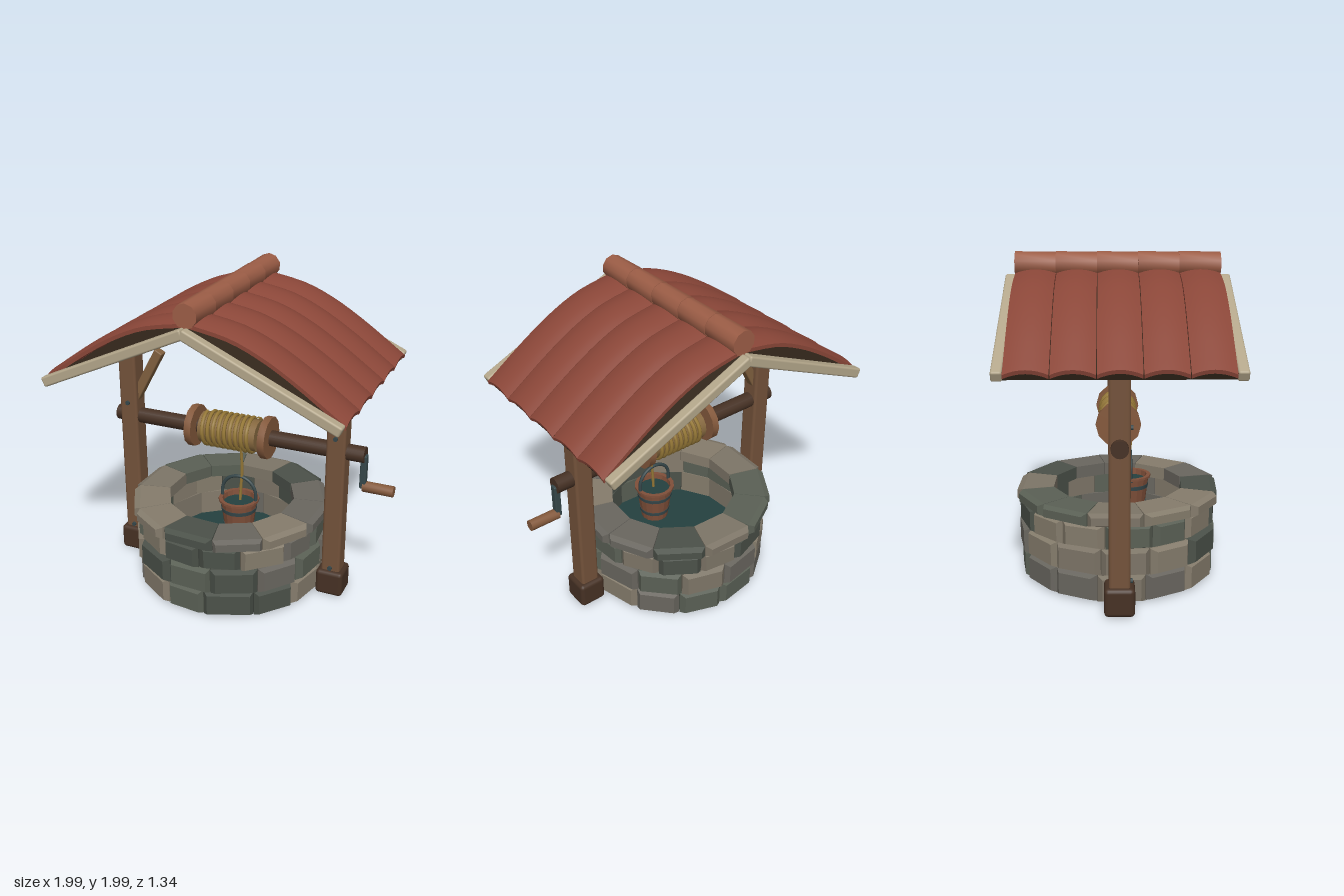
import * as THREE from 'three';
import { toCreasedNormals } from 'three/addons/utils/BufferGeometryUtils.js';
import { RoundedBoxGeometry } from 'three/addons/geometries/RoundedBoxGeometry.js';
import { ConvexGeometry } from 'three/addons/geometries/ConvexGeometry.js';

const mat = (color, opts = {}) => new THREE.MeshStandardMaterial({ color, ...opts });
const M = {
  wood: mat(0x73523a), darkWood: mat(0x463124), brace: mat(0x80603f), handle: mat(0x84593c),
  board: mat(0xb3a68a), deck: mat(0x33271b), tile: mat(0x8a4638), ridge: mat(0x9c5d46),
  iron: mat(0x36474a), rope: mat(0x987a38), drum: mat(0x86683f), water: mat(0x24403f),
  bucket: mat(0x80503a, { flatShading: true, side: THREE.DoubleSide }),
};
const STONES = [0x7d7567, 0x5a6055, 0x69665f, 0x4b5149, 0x857c6c].map((c) => mat(c, { flatShading: true }));

let seed = 7;
const rand = () => (seed = (seed * 16807) % 2147483647) / 2147483647;

function add(parent, name, geometry, material, x = 0, y = 0, z = 0) {
  const mesh = new THREE.Mesh(geometry, material);
  mesh.name = name;
  mesh.position.set(x, y, z);
  parent.add(mesh);
  return mesh;
}

// cylinder lying along x, from x0 to x1
function rod(parent, name, material, r, x0, x1, y, z = 0, sides = 16) {
  const geo = new THREE.CylinderGeometry(r, r, x1 - x0, sides);
  return add(parent, name, toCreasedNormals(geo.rotateZ(Math.PI / 2), 0.6), material, (x0 + x1) / 2, y, z);
}

// wedge-shaped block with a chamfered outer face
function stoneGeometry(r0, r1, y0, y1, a0, a1) {
  const b = 0.022, pts = [];
  const corners = (r, dy, da) => {
    for (const a of [a0 + da, a1 - da])
      for (const y of [y0 + dy, y1 - dy]) pts.push(new THREE.Vector3(r * Math.sin(a), y, r * Math.cos(a)));
  };
  corners(r0, 0, 0);
  corners(r1 - b, 0, 0);
  corners(r1 + 0.008, b * 0.7, b / r1 + rand() * 0.025);
  return new ConvexGeometry(pts);
}

function stoneWall() {
  const wall = new THREE.Group();
  wall.name = 'stoneWall';
  const rows = [ // inner radius, outer radius, bottom, top, count, first angle
    [0.47, 0.605, 0.01, 0.172, 13, 0.14],
    [0.47, 0.61, 0.174, 0.335, 13, 0.18],
    [0.47, 0.6, 0.337, 0.482, 14, 0.09],
    [0.41, 0.63, 0.48, 0.56, 12, 0.21],
  ];
  rows.forEach(([r0, r1, y0, y1, n, start], row) => {
    const step = (Math.PI * 2) / n;
    const joints = Array.from({ length: n }, (_, i) => start + i * step + (rand() - 0.5) * 0.06);
    for (let i = 0; i < n; i++) {
      const end = i + 1 < n ? joints[i + 1] : joints[0] + Math.PI * 2;
      const geo = stoneGeometry(r0, r1 + (rand() - 0.5) * 0.016, y0, y1, joints[i] + 0.004, end - 0.004);
      add(wall, row === 3 ? 'copingStone' : 'wallStone', geo, STONES[Math.floor(rand() * STONES.length)]);
    }
  });
  add(wall, 'water', new THREE.CylinderGeometry(0.475, 0.475, 0.01, 32), M.water, 0, 0.17, 0);
  return wall;
}

// arched roof tile strip: curved along the slope, barrel-shaped across its width
function tileGeometry(width) {
  const top = new THREE.SplineCurve([[0.03, 1.905], [0.26, 1.86], [0.46, 1.775], [0.66, 1.655], [0.86, 1.515], [0.93, 1.465]]
    .map(([x, y]) => new THREE.Vector2(x, y))).getPoints(16);
  const under = top.map((p) => new THREE.Vector2(p.x - 0.006, p.y - 0.022)).reverse();
  const geo = new THREE.ExtrudeGeometry(new THREE.Shape([...top, ...under]), { depth: width, steps: 8, bevelEnabled: false });
  geo.translate(0, 0, -width / 2);
  const p = geo.attributes.position;
  for (let i = 0; i < p.count; i++) {
    const t = p.getZ(i) / (width / 2);
    p.setY(i, p.getY(i) - 0.026 * t * t);
  }
  return toCreasedNormals(geo, 0.6);
}

function roof() {
  const g = new THREE.Group();
  g.name = 'roof';
  const tile = tileGeometry(0.24);
  for (const turn of [0, Math.PI]) {
    const half = new THREE.Group();
    half.name = 'roofHalf';
    half.rotation.y = turn;
    add(half, 'deck', new THREE.BoxGeometry(1.0, 0.04, 1.22), M.deck, 0.455, 1.631, 0).rotation.z = -0.424;
    for (const z of [-0.64, 0.64])
      add(half, 'bargeBoard', new RoundedBoxGeometry(1.012, 0.062, 0.062, 2, 0.012), M.board, 0.455, 1.631, z).rotation.z = -0.424;
    for (let i = -2; i <= 2; i++) add(half, 'tileStrip', tile, M.tile, 0, 0, i * 0.244);
    g.add(half);
  }
  // overlapping ridge caps
  for (let i = -2; i <= 2; i++) {
    const cap = new THREE.CylinderGeometry(0.073, 0.076, 0.248, 10).rotateX(Math.PI / 2);
    add(g, 'ridgeCap', toCreasedNormals(cap, 0.7), M.ridge, 0, 1.924, i * 0.2435);
  }
  return g;
}

function frame() {
  const g = new THREE.Group();
  g.name = 'frame';
  for (const s of [-1, 1]) {
    add(g, 'post', new RoundedBoxGeometry(0.122, 1.37, 0.122, 2, 0.018), M.wood, s * 0.706, 0.785, 0);
    add(g, 'postFoot', new RoundedBoxGeometry(0.176, 0.17, 0.176, 2, 0.025), M.darkWood, s * 0.706, 0.095, 0);
    add(g, 'brace', new RoundedBoxGeometry(0.06, 0.4, 0.06, 2, 0.008), M.brace, s * 0.585, 1.29, 0).rotation.z = s * 0.5;
    for (const y of [0.2, 1.1])
      add(g, 'bolt', new THREE.CylinderGeometry(0.014, 0.014, 0.02, 10).rotateX(Math.PI / 2), M.iron, s * 0.706, y, 0.065);
  }
  return g;
}

function windlass() {
  const g = new THREE.Group();
  g.name = 'windlass';
  rod(g, 'axle', M.darkWood, 0.05, -0.806, 0.878, 1);
  rod(g, 'drum', M.drum, 0.102, -0.193, 0.194, 1);
  for (const s of [-1, 1]) rod(g, 'drumFlange', M.handle, 0.135, s * 0.249 - 0.023, s * 0.249 + 0.023, 1, 0, 12);
  // wound rope
  const turns = 9, pts = [];
  for (let i = 0; i <= turns * 16; i++) {
    const a = (i / 16) * Math.PI * 2;
    pts.push(new THREE.Vector3(-0.165 + (0.34 * i) / (turns * 16), 1 + 0.108 * Math.cos(a), 0.108 * Math.sin(a)));
  }
  add(g, 'ropeCoil', new THREE.TubeGeometry(new THREE.CatmullRomCurve3(pts), turns * 20, 0.013, 6), M.rope);
  const drop = new THREE.CatmullRomCurve3([[0.105, 1.0, 0.108], [0.106, 0.92, 0.09], [0.108, 0.78, 0.082], [0.1, 0.66, 0.08], [0.095, 0.57, 0.08]]
    .map((p) => new THREE.Vector3(...p)));
  add(g, 'hangingRope', new THREE.TubeGeometry(drop, 24, 0.01, 6), M.rope);
  // crank
  add(g, 'crankArm', new RoundedBoxGeometry(0.04, 0.22, 0.045, 2, 0.008), M.iron, 0.872, 0.89, 0);
  rod(g, 'crankHandle', M.handle, 0.034, 0.873, 1.064, 0.79, 0, 12);
  return g;
}

function bucket() {
  const g = new THREE.Group();
  g.name = 'bucket';
  g.position.set(0.087, 0.57, 0.08);
  const profile = [[0, -0.23], [0.088, -0.23], [0.118, 0], [0.13, 0], [0.13, 0.014], [0.106, 0.014], [0.1, -0.04]]
    .map(([x, y]) => new THREE.Vector2(x, y));
  add(g, 'bucketBody', new THREE.LatheGeometry(profile, 16), M.bucket);
  add(g, 'bucketWater', new THREE.CylinderGeometry(0.102, 0.1, 0.01, 16), M.water, 0, -0.025, 0);
  for (const [r, y] of [[0.113, -0.055], [0.098, -0.17]])
    add(g, 'bucketHoop', new THREE.CylinderGeometry(r + 0.003, r, 0.025, 16), M.iron, 0, y, 0);
  add(g, 'bucketBail', new THREE.TorusGeometry(0.115, 0.011, 8, 24, Math.PI), M.iron, 0, 0.05, 0);
  for (const s of [-1, 1]) add(g, 'bailEnd', new THREE.CylinderGeometry(0.011, 0.011, 0.06, 8), M.iron, s * 0.115, 0.02, 0);
  return g;
}

export function createModel() {
  const model = new THREE.Group();
  model.name = 'well';
  const body = new THREE.Group();
  body.name = 'wellBody';
  body.position.set(-0.064, -0.01, 0);
  body.add(stoneWall(), frame(), roof(), windlass(), bucket());
  body.position.y = 0;
  model.add(body);
  return model;
}
